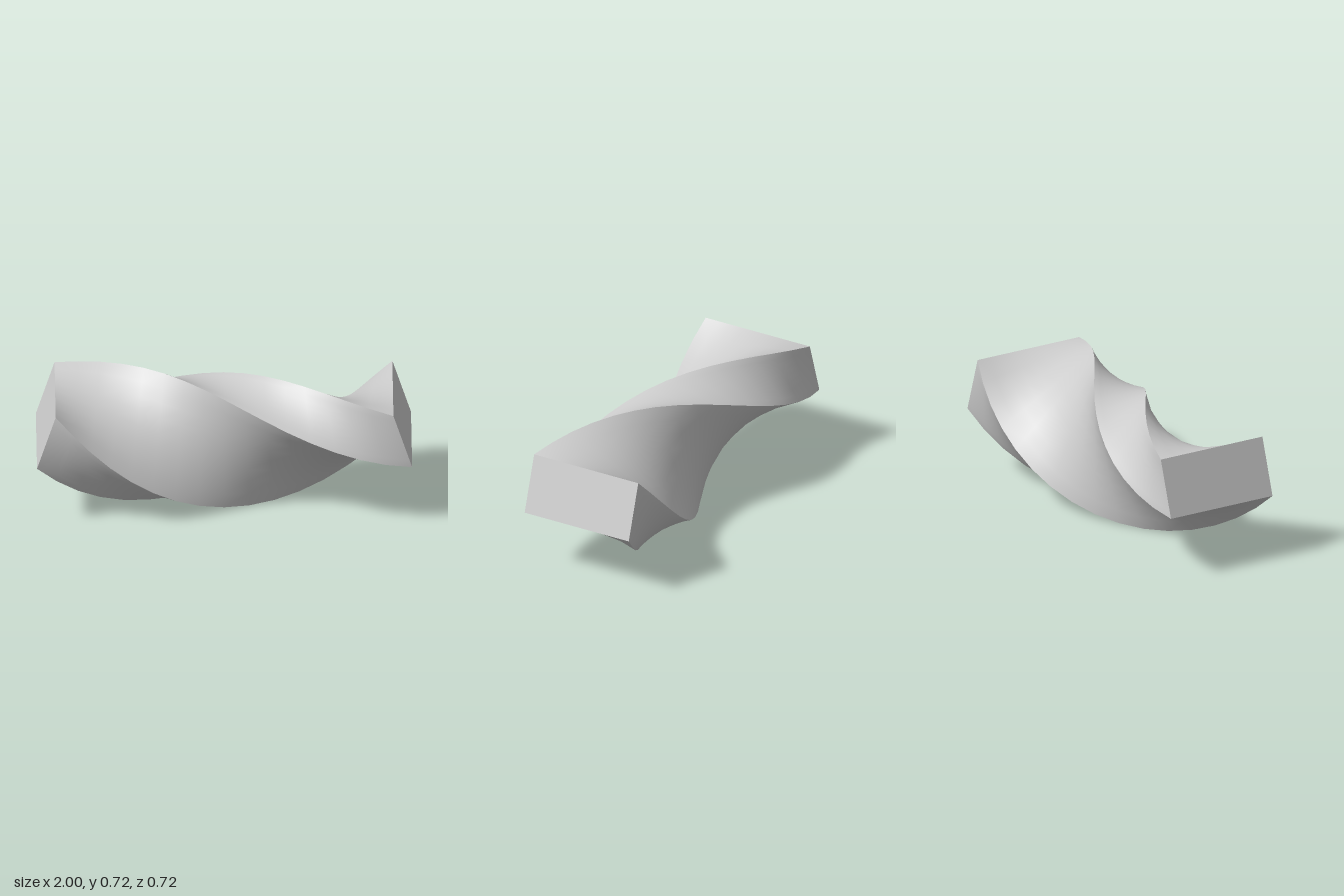
import * as THREE from 'three';

const LENGTH = 1.931, HEIGHT = 0.322, WIDTH = 0.644;
const TWIST = Math.PI;            // total turn along the bar
const BEND = Math.PI / 5;         // total angle of the arc
const RADIUS = LENGTH / BEND;
const MID_Y = 0.352;              // height of the centre line at the middle

// Twist a point about the bar's axis, then bend the axis upward into an arc
function twistAndBend(p) {
  const t = p.x / LENGTH;
  const a = (t + 0.5) * TWIST;
  const y = p.y * Math.cos(a) - p.z * Math.sin(a);
  const z = p.y * Math.sin(a) + p.z * Math.cos(a);
  const b = t * BEND;
  const r = RADIUS - y;
  return p.set(r * Math.sin(b), MID_Y + RADIUS - r * Math.cos(b), z);
}

export function createModel() {
  const group = new THREE.Group();
  group.name = 'twistedBentBar';

  // Box sides keep their own vertices, so the four long edges stay sharp
  const geometry = new THREE.BoxGeometry(LENGTH, HEIGHT, WIDTH, 16, 8, 8);
  const position = geometry.attributes.position;
  const p = new THREE.Vector3();
  for (let i = 0; i < position.count; i++) {
    twistAndBend(p.fromBufferAttribute(position, i));
    position.setXYZ(i, p.x, p.y, p.z);
  }
  geometry.computeVertexNormals();

  const bar = new THREE.Mesh(geometry, new THREE.MeshStandardMaterial({ color: 0xcccccc }));
  bar.name = 'bar';
  group.add(bar);
  return group;
}
